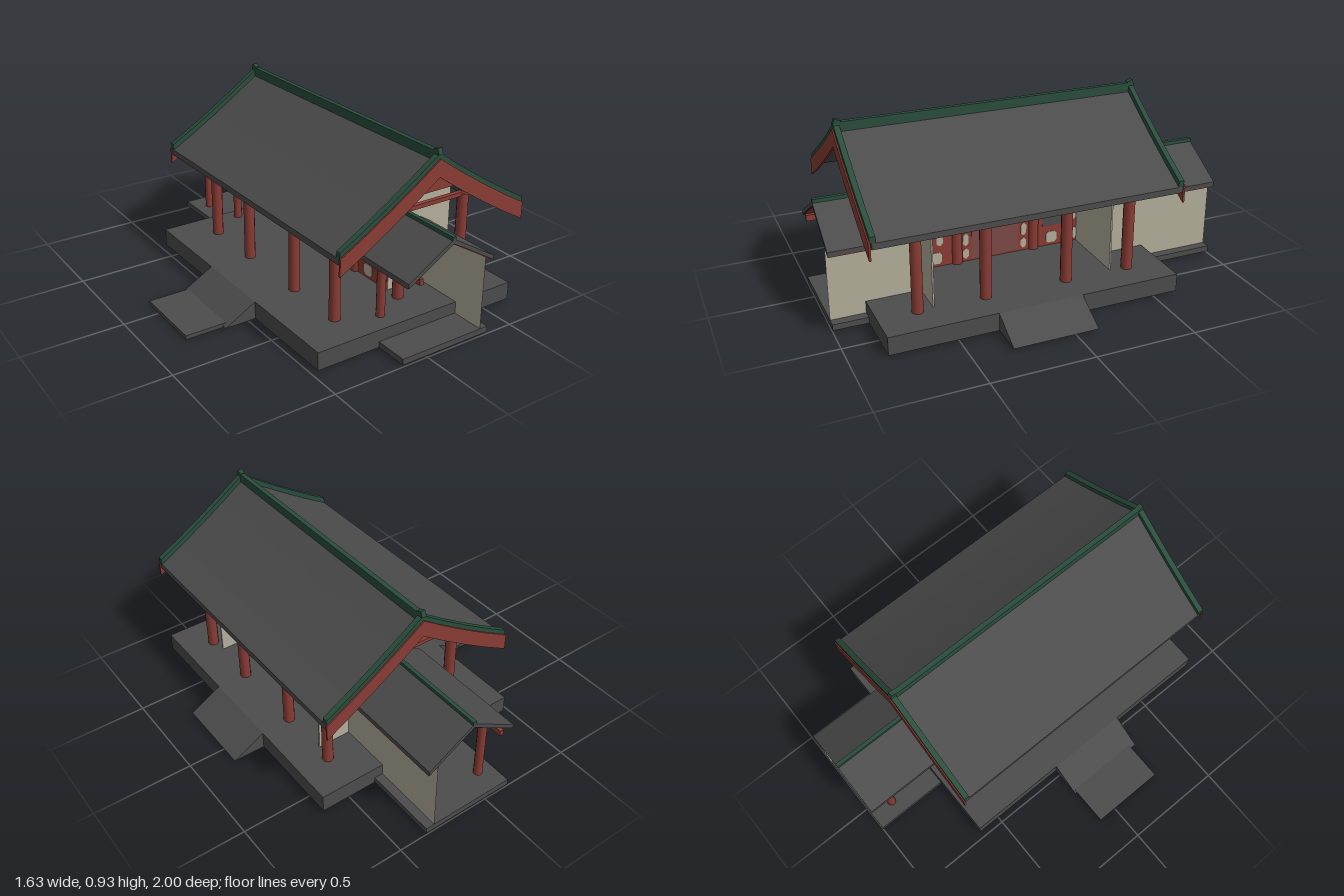
import * as THREE from 'three';

const mat = (name, color, side = THREE.FrontSide) => {
  const m = new THREE.MeshStandardMaterial({ color, side });
  m.name = name;
  return m;
};

export function createModel() {
  const root = new THREE.Group();
  const grey = mat('slate grey', 0x4c4c4c);
  const red = mat('timber red', 0x8a3c34);
  const green = mat('ridge green', 0x2a4d3c);
  const plaster = mat('plaster', 0xb4af9b, THREE.DoubleSide);
  const doorRed = mat('door maroon', 0x7c4a46);

  const RX = 0.115;                       // ridge line
  const lines = [0.64, 0.31, -0.1, -0.43]; // column rows along z

  const add = (geo, m, name) => {
    const mesh = new THREE.Mesh(geo, m);
    mesh.name = name;
    root.add(mesh);
    return mesh;
  };
  // box given by its min and max on each axis
  const box = (name, m, x0, x1, y0, y1, z0, z1) =>
    add(new THREE.BoxGeometry(x1 - x0, y1 - y0, z1 - z0), m, name)
      .position.set((x0 + x1) / 2, (y0 + y1) / 2, (z0 + z1) / 2);
  // outline in x/y pushed from z0 to z1
  const prism = (name, m, pts, z0, z1) => {
    const shape = new THREE.Shape(pts.map(p => new THREE.Vector2(p[0], p[1])));
    const geo = new THREE.ExtrudeGeometry(shape, { depth: z1 - z0, bevelEnabled: false });
    add(geo, m, name).position.z = z0;
  };
  // mirrored band under a half profile, between two height offsets
  const band = (name, m, half, lo, hi, z0, z1) => {
    const full = [...half.slice(1).reverse().map(([d, y]) => [RX - d, y]), ...half.map(([d, y]) => [RX + d, y])];
    prism(name, m, [
      ...full.map(([x, y]) => [x, y + lo]),
      ...full.reverse().map(([x, y]) => [x, y + hi]),
    ], z0, z1);
  };
  const column = (name, x, z, y0, y1, r) =>
    add(new THREE.CylinderGeometry(r, r, y1 - y0, 10), red, name).position.set(x, (y0 + y1) / 2, z);

  // platform, ramps and path
  box('platform', grey, -0.47, 0.65, 0.01, 0.1, -0.62, 0.83);
  prism('leftRamp', grey, [[0.65, 0.01], [0.815, 0.01], [0.65, 0.1]], -0.11, 0.31);
  prism('rightRamp', grey, [[-0.47, 0.01], [-0.47, 0.1], [-0.63, 0.01]], -0.11, 0.31);
  box('path', grey, -0.82, 0.65, 0, 0.02, -0.1, 0.28);

  // main columns, cross beams and purlins
  for (const z of lines) {
    for (const x of [-0.25, 0.49]) column('mainColumn', x, z, 0.1, 0.545, 0.028);
    column('centreColumn', RX, z, 0.1, 0.575, 0.028);
    box('crossBeam', red, -0.27, 0.51, 0.535, 0.556, z - 0.012, z + 0.012);
  }
  for (const x of [-0.25, 0.49]) box('purlin', green, x - 0.012, x + 0.012, 0.545, 0.565, -0.43, 0.64);

  // main roof with its gently hollow slopes
  const slope = [[0, 0.875], [0.13, 0.785], [0.26, 0.7], [0.39, 0.62], [0.515, 0.548]];
  band('mainRoof', grey, slope, -0.03, 0, -0.63, 0.87);
  box('mainRidge', green, RX - 0.012, RX + 0.012, 0.855, 0.912, -0.62, 0.865);
  for (const [z, s] of [[0.865, 1], [-0.62, -1]]) {
    // raised ridge tip, red barge board and green rib above it
    const tip = add(new THREE.BoxGeometry(0.024, 0.03, 0.03), green, 'ridgeTip');
    tip.position.set(RX, 0.908, z);
    tip.rotation.x = -s * 0.35;
    const a = z, b = z + s * 0.015;
    band('gableRib', green, slope, 0, 0.03, Math.min(a - s * 0.012, b), Math.max(a - s * 0.012, b));
    band('bargeBoard', red, slope.map(([d, y]) => [d * 1.005, y]), -0.08, 0.004,
      Math.min(b - s * 0.004, b + s * 0.006), Math.max(b - s * 0.004, b + s * 0.006));
  }
  // gable boards above the tie beams
  for (const z of [0.64, -0.43]) {
    prism('gableBoard', red, [[RX - 0.38, 0.6], [RX + 0.38, 0.6], [RX + 0.26, 0.672],
      [RX + 0.13, 0.757], [RX, 0.845], [RX - 0.13, 0.757], [RX - 0.26, 0.672]], z - 0.008, z + 0.008);
  }

  // gable walls, closed only on one side of the ridge
  for (const z of [0.56, -0.345]) box('gableWall', plaster, RX, 0.48, 0.1, 0.602, z - 0.004, z + 0.004);

  // screen wall under the ridge with door and window bays
  box('screenWall', red, RX - 0.006, RX + 0.006, 0.1, 0.56, -0.345, 0.56);
  const plate = (name, m, z0, z1, y0, y1, t = 0.009) =>
    box(name, m, RX - t, RX + t, y0, y1, z0, z1);
  plate('door', doorRed, -0.015, 0.235, 0.11, 0.43, 0.008);
  // paper panels with clipped corners, on both faces
  const paper = (z0, z1, y0, y1) => {
    const c = 0.012, t = 0.009;
    const shape = new THREE.Shape([[z0 + c, y0], [z1 - c, y0], [z1, y0 + c], [z1, y1 - c],
      [z1 - c, y1], [z0 + c, y1], [z0, y1 - c], [z0, y0 + c]].map(p => new THREE.Vector2(-p[0], p[1])));
    const geo = new THREE.ExtrudeGeometry(shape, { depth: 2 * t, bevelEnabled: false });
    const mesh = add(geo, plaster, 'paperPanel');
    mesh.rotation.y = Math.PI / 2;
    mesh.position.x = RX - t;
  };
  for (const z of [0.475, 0.375, 0.265, 0.155, 0.065, -0.045, -0.175, -0.265]) paper(z - 0.04, z + 0.04, 0.45, 0.49);
  for (const z of [0.265, -0.045]) {
    paper(z - 0.015, z + 0.015, 0.115, 0.17);
    paper(z - 0.015, z + 0.015, 0.185, 0.25);
    paper(z - 0.015, z + 0.015, 0.27, 0.395);
  }
  for (const z of [0.525, 0.42, -0.2, -0.315]) paper(z - 0.03, z + 0.03, 0.115, 0.175);
  for (const z of [0.51, 0.455, 0.4]) paper(z - 0.016, z + 0.016, 0.21, 0.385);
  plate('darkWindow', grey, -0.3, -0.15, 0.21, 0.395);
  paper(-0.335, -0.31, 0.22, 0.385);

  // covered corridors at both ends
  const eaves = [[0, 0.55], [0.243, 0.405]];
  const corridors = [
    { near: 0.56, base: 0.83, far: 1, posts: [0.73] },
    { near: -0.345, base: -0.62, far: -1, posts: [-0.55, -0.88] },
  ];
  for (const { near, base, far, posts } of corridors) {
    const z0 = Math.min(near, far), z1 = Math.max(near, far);
    box('corridorBase', grey, -0.14, 0.355, 0.01, 0.04, Math.min(base, far), Math.max(base, far));
    band('corridorRoof', grey, eaves, -0.022, 0, z0, z1);
    band('corridorCeiling', red, eaves, -0.026, -0.022, z0 + 0.004, z1 - 0.004);
    box('corridorRidge', green, RX - 0.01, RX + 0.01, 0.535, 0.562, z0, z1);
    // thin outer wall
    const wall = add(new THREE.PlaneGeometry(z1 - z0, 0.37), plaster, 'corridorWall');
    wall.rotation.y = Math.PI / 2;
    wall.position.set(0.31, 0.225, (z0 + z1) / 2);
    for (const z of posts) {
      column('corridorPost', -0.058, z, Math.abs(z) > Math.abs(base) ? 0.04 : 0.1, 0.41, 0.022);
      box('corridorTie', red, -0.058, 0.31, 0.385, 0.4, z - 0.008, z + 0.008);
    }
    box('corridorBeam', red, -0.068, -0.048, 0.38, 0.41, z0, z1);
  }
  return root;
}
